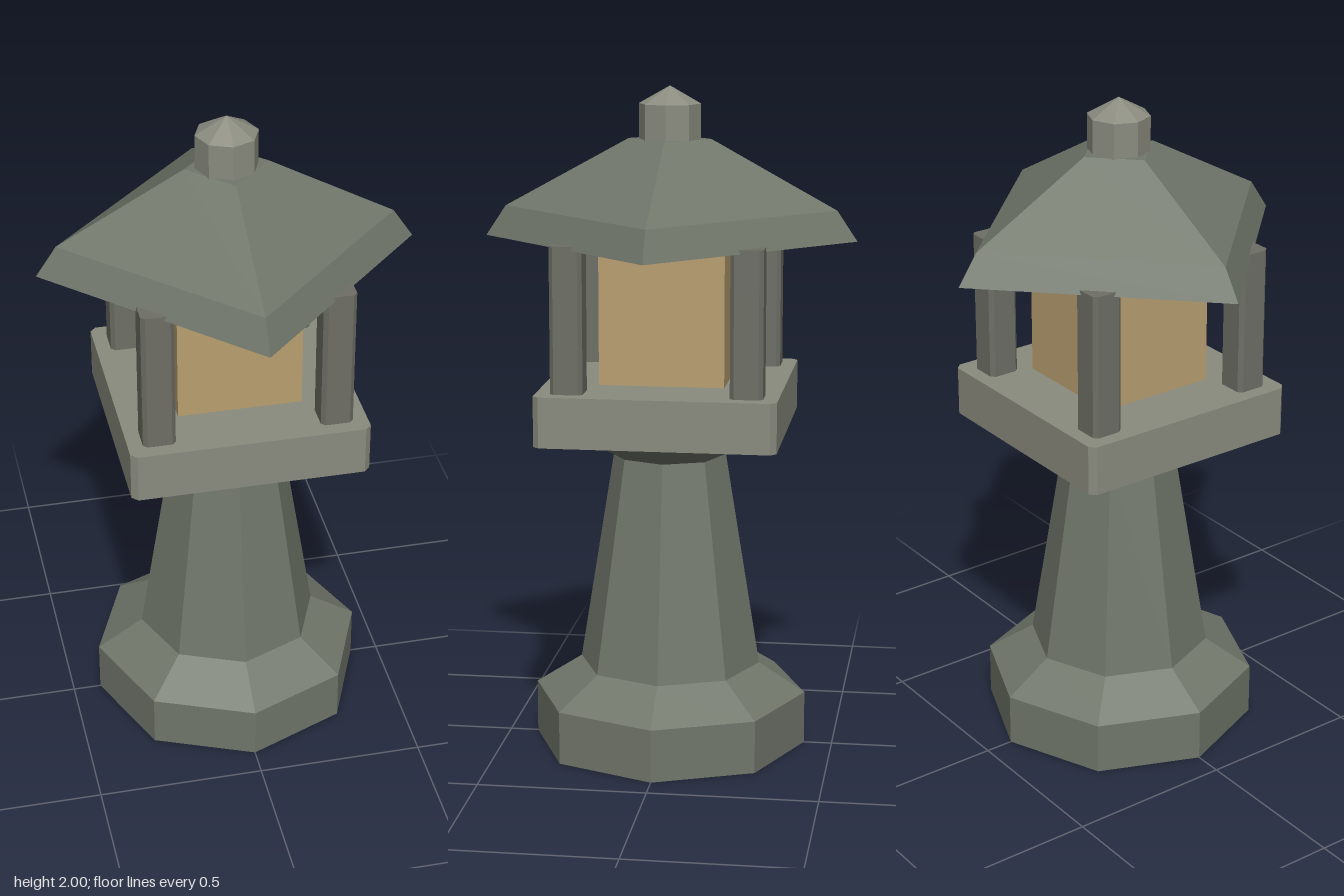
import * as THREE from 'three';

const material = (color) => new THREE.MeshStandardMaterial({ color, flatShading: true });

// Faceted solid turned around the y axis; profile runs bottom to top.
function turned(name, profile, sides, mat) {
  const points = profile.map(([r, y]) => new THREE.Vector2(r, y));
  const mesh = new THREE.Mesh(new THREE.LatheGeometry(points, sides), mat);
  mesh.name = name;
  return mesh;
}

// Upright square block with its four vertical edges chamfered.
function chamferedBlock(name, half, chamfer, bottom, top, mat) {
  const c = half - chamfer;
  const shape = new THREE.Shape([
    [half, -c], [half, c], [c, half], [-c, half],
    [-half, c], [-half, -c], [-c, -half], [c, -half],
  ].map(([x, y]) => new THREE.Vector2(x, y)));
  const geometry = new THREE.ExtrudeGeometry(shape, { depth: top - bottom, bevelEnabled: false });
  geometry.rotateX(-Math.PI / 2).translate(0, bottom, 0);
  const mesh = new THREE.Mesh(geometry, mat);
  mesh.name = name;
  return mesh;
}

export function createModel() {
  const model = new THREE.Group();
  model.name = 'stoneLantern';
  const stone = material(0x71776b);
  const postStone = material(0x6e6f66);
  const paleStone = material(0x8b8c7f);
  const lampGlow = material(0xb89f70);

  // Octagonal foot, tapering column and flared neck
  model.add(turned('base', [[0, 0], [0.415, 0], [0.415, 0.16], [0.275, 0.25], [0, 0.25]], 8, stone));
  model.add(turned('column', [[0.275, 0.25], [0.17, 0.9]], 8, stone));
  model.add(turned('neck', [[0.17, 0.9], [0.31, 0.98], [0, 0.98]], 8, stone));

  // Square platform carrying the light chamber
  model.add(chamferedBlock('platform', 0.354, 0.018, 0.98, 1.13, paleStone));

  // Four corner posts
  for (const sx of [-1, 1]) {
    for (const sz of [-1, 1]) {
      const post = chamferedBlock('cornerPost', 0.048, 0.012, 1.13, 1.562, postStone);
      post.position.set(sx * 0.262, 0, sz * 0.262);
      model.add(post);
    }
  }

  // Lamp box
  const lamp = new THREE.Mesh(new THREE.BoxGeometry(0.37, 0.39, 0.37), lampGlow);
  lamp.name = 'lampBox';
  lamp.position.y = 1.333;
  model.add(lamp);

  // Four-sided roof set diagonally, with steeper eaves and a flat top
  model.add(turned('roof', [[0, 1.55], [0.555, 1.55], [0.495, 1.64], [0.123, 1.845], [0, 1.845]], 4, stone));

  // Octagonal finial
  model.add(turned('finial', [[0, 1.84], [0.092, 1.84], [0.092, 1.948], [0, 2]], 8, paleStone));

  return model;
}
